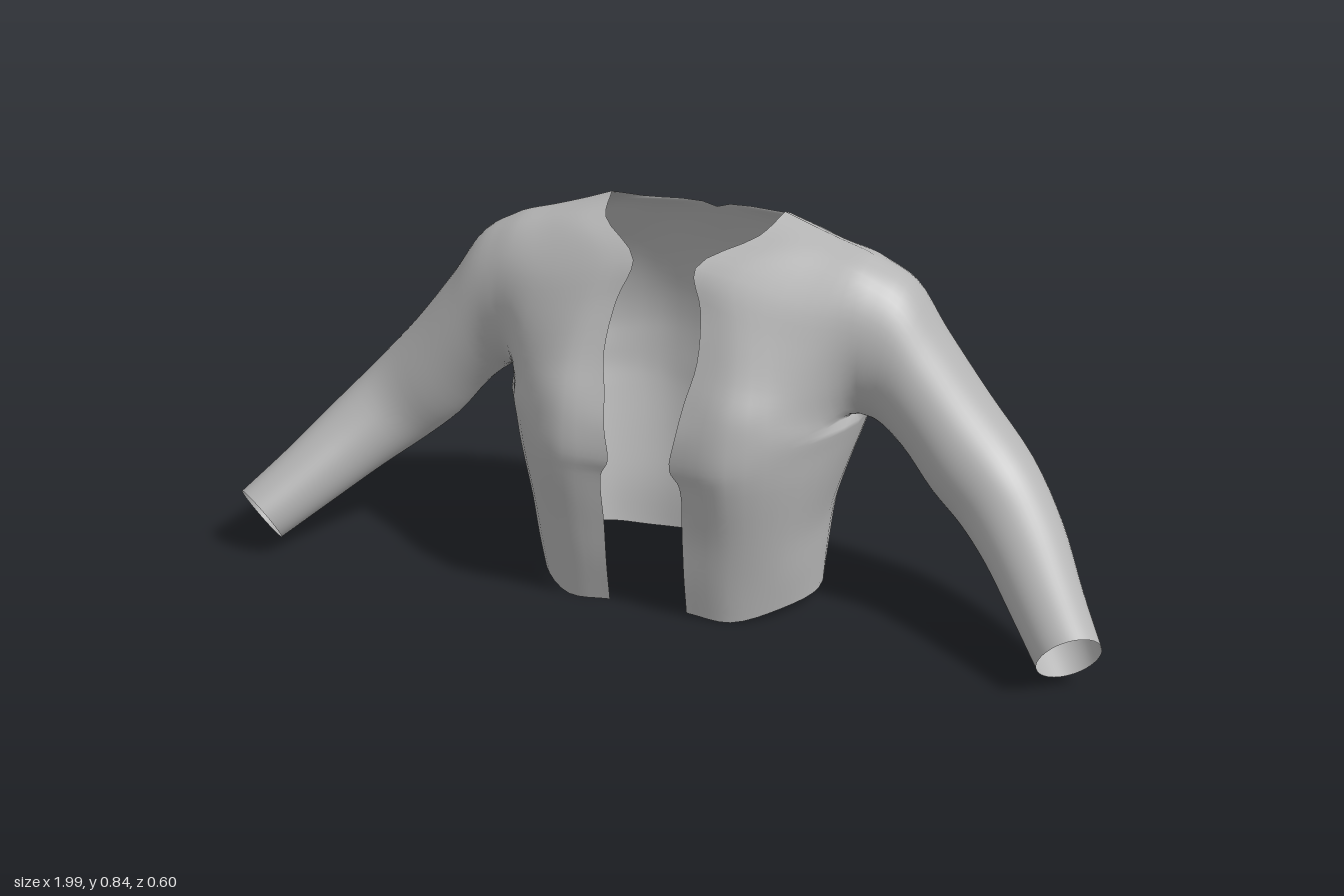
import * as THREE from 'three';
import { mergeGeometries, mergeVertices } from 'three/addons/utils/BufferGeometryUtils.js';

const V = (a) => new THREE.Vector3(...a);
const SUB = 4;      // samples between control points
const ARMPIT = 5;   // control row where the armhole starts
const UPPER = 6;    // control rows from armpit to shoulder

// Side seam below the armpit, then half of the armhole (s = 1 front, -1 back)
function sideColumn(s) {
  const pts = [[.32, .02, 0], [.325, .1, 0], [.335, .2, -.01], [.37, .32, -.03], [.39, .38, -.04], [.405, .43, -.045]].map(V);
  for (let k = 1; k <= UPPER; k++) {
    const a = Math.PI * k / UPPER;
    pts.push(new THREE.Vector3(.405, .607 - .178 * Math.cos(a), -.048 + s * .14 * Math.sin(a)));
  }
  return pts;
}

// Rows from hem to shoulder: opening or neckline edge, then two points across the chest
const FRONT = [
  [[.09, .01, .21], [.19, .003, .205], [.28, .02, .13]],
  [[.09, .1, .225], [.19, .1, .22], [.29, .1, .14]],
  [[.09, .2, .235], [.2, .2, .235], [.3, .2, .15]],
  [[.09, .32, .25], [.2, .32, .262], [.325, .32, .15]],
  [[.07, .36, .258], [.2, .37, .268], [.335, .38, .148]],
  [[.08, .43, .252], [.2, .43, .26], [.34, .43, .15]],
  [[.09, .5, .225], [.2, .49, .243], [.33, .47, .155]],
  [[.105, .58, .19], [.2, .555, .207], [.32, .53, .155]],
  [[.095, .68, .145], [.185, .65, .16], [.31, .62, .135]],
  [[.07, .76, .112], [.16, .745, .11], [.29, .71, .1]],
  [[.175, .815, .015], [.24, .805, .02], [.32, .785, .02]],
  [[.2, .845, -.075], [.26, .825, -.07], [.33, .805, -.06]],
];
// Rows from hem to shoulder: centre back or neckline, then two points across the back
const BACK = [
  [[0, .012, -.195], [.16, .003, -.2], [.27, .02, -.14]],
  [[0, .1, -.21], [.16, .1, -.215], [.28, .1, -.15]],
  [[0, .2, -.235], [.16, .2, -.245], [.29, .2, -.17]],
  [[0, .32, -.262], [.17, .32, -.278], [.315, .32, -.187]],
  [[0, .37, -.27], [.18, .37, -.287], [.335, .38, -.19]],
  [[0, .43, -.28], [.18, .43, -.295], [.34, .43, -.2]],
  [[0, .5, -.285], [.18, .49, -.3], [.335, .47, -.22]],
  [[0, .58, -.28], [.18, .56, -.293], [.33, .535, -.23]],
  [[0, .69, -.25], [.18, .65, -.265], [.315, .63, -.225]],
  [[0, .8, -.19], [.15, .77, -.21], [.29, .72, -.185]],
  [[.17, .81, -.175], [.24, .8, -.15], [.32, .782, -.125]],
  [[.2, .845, -.075], [.26, .825, -.07], [.33, .805, -.06]],
];
// Sleeve sections: centre, direction, half height, half depth
const SLEEVE = [
  [[.465, .578, -.05], [.988, -.157, 0], .16, .13],
  [[.53, .505, -.045], [.975, -.217, 0], .138, .123],
  [[.615, .4, -.034], [.93, -.37, .05], .121, .117],
  [[.705, .31, -.01], [.78, -.55, .25], .104, .106],
  [[.785, .235, .06], [.62, -.52, .58], .091, .092],
  [[.865, .155, .16], [.55, -.5, .66], .078, .078],
  [[.937, .086, .25], [.52, -.52, .7], .069, .069],
];

// Smooth samples through a list of points
function sample(pts) {
  const curve = new THREE.CatmullRomCurve3(pts);
  const n = (pts.length - 1) * SUB;
  return Array.from({ length: n + 1 }, (_, i) => curve.getPoint(i / n));
}

// Triangulate a grid of points given as rows
function gridGeometry(rows, flip) {
  const w = rows[0].length, index = [];
  for (let r = 0; r < rows.length - 1; r++) {
    for (let c = 0; c < w - 1; c++) {
      const a = r * w + c, b = a + 1, d = a + w, e = d + 1;
      if (flip) index.push(a, e, b, a, d, e);
      else index.push(a, b, e, a, e, d);
    }
  }
  return new THREE.BufferGeometry().setFromPoints(rows.flat()).setIndex(index);
}

// Panel from sampled columns; the points past the side keep the seam smooth
function panel(cols, beyond, flip) {
  const rows = cols[0].map((edge, r) => {
    const p = cols.map((c) => c[r]);
    const before = edge.x < .01
      ? new THREE.Vector3(-p[1].x, p[1].y, p[1].z)
      : edge.clone().multiplyScalar(2).sub(p[1]);
    return sample([before, ...p, beyond[r]]).slice(SUB, -SUB);
  });
  return gridGeometry(rows, flip);
}

function halfGeometries() {
  const columns = (table, s) =>
    [0, 1, 2].map((c) => sample(table.map((row) => V(row[c])))).concat([sample(sideColumn(s))]);
  const front = columns(FRONT, 1), back = columns(BACK, -1);
  // share the seam under the arm exactly
  const start = ARMPIT * SUB, n = UPPER * SUB;
  for (let r = 0; r < start; r++) back[3][r] = front[3][r];

  // rings run from the armpit up the front, over the shoulder and down the back
  const armhole = [...front[3].slice(start), ...back[3].slice(start, -1).reverse()];
  const rings = [armhole];
  for (const [c, d, ru, rv] of SLEEVE) {
    const dir = V(d).normalize();
    const fore = new THREE.Vector3(0, 0, 1).addScaledVector(dir, -dir.z).normalize();
    const up = new THREE.Vector3().crossVectors(fore, dir);
    rings.push(armhole.map((_, j) => {
      const a = Math.PI * j / n;
      return V(c).addScaledVector(up, -ru * Math.cos(a)).addScaledVector(fore, rv * Math.sin(a));
    }));
  }
  const lines = armhole.map((_, j) => sample(rings.map((ring) => ring[j])));
  const sleeveRows = lines[0].map((_, r) => lines.map((line) => line[r]));

  const past = (other, s) => front[3].map((_, r) =>
    r <= start ? other[2][r] : rings[1][s > 0 ? r - start : 2 * n - (r - start)]);
  return [
    panel(front, past(back, 1), false),
    panel(back, past(front, -1), true),
    gridGeometry(sleeveRows, true),
  ];
}

function mirrored(geometry) {
  const g = geometry.clone().scale(-1, 1, 1);
  const idx = Array.from(g.index.array);
  for (let i = 0; i < idx.length; i += 3) [idx[i + 1], idx[i + 2]] = [idx[i + 2], idx[i + 1]];
  return g.setIndex(idx);
}

export function createModel() {
  const group = new THREE.Group();
  group.name = 'openJacket';
  const fabric = new THREE.MeshStandardMaterial({ color: 0xb4b4b4, side: THREE.DoubleSide });
  fabric.name = 'greyFabric';

  // Weld all parts so shading runs smoothly across the seams, then split by part
  const left = halfGeometries();
  const parts = [...left, ...left.map(mirrored)];
  const names = ['leftFrontPanel', 'leftBackPanel', 'leftSleeve', 'rightFrontPanel', 'rightBackPanel', 'rightSleeve'];
  const whole = mergeVertices(mergeGeometries(parts), 1e-4);
  whole.computeVertexNormals();
  let offset = 0;
  parts.forEach((part, i) => {
    const g = new THREE.BufferGeometry();
    g.setAttribute('position', whole.attributes.position);
    g.setAttribute('normal', whole.attributes.normal);
    g.setIndex(Array.from(whole.index.array.slice(offset, offset + part.index.count)));
    offset += part.index.count;
    const mesh = new THREE.Mesh(g, fabric);
    mesh.name = names[i];
    group.add(mesh);
  });
  return group;
}
